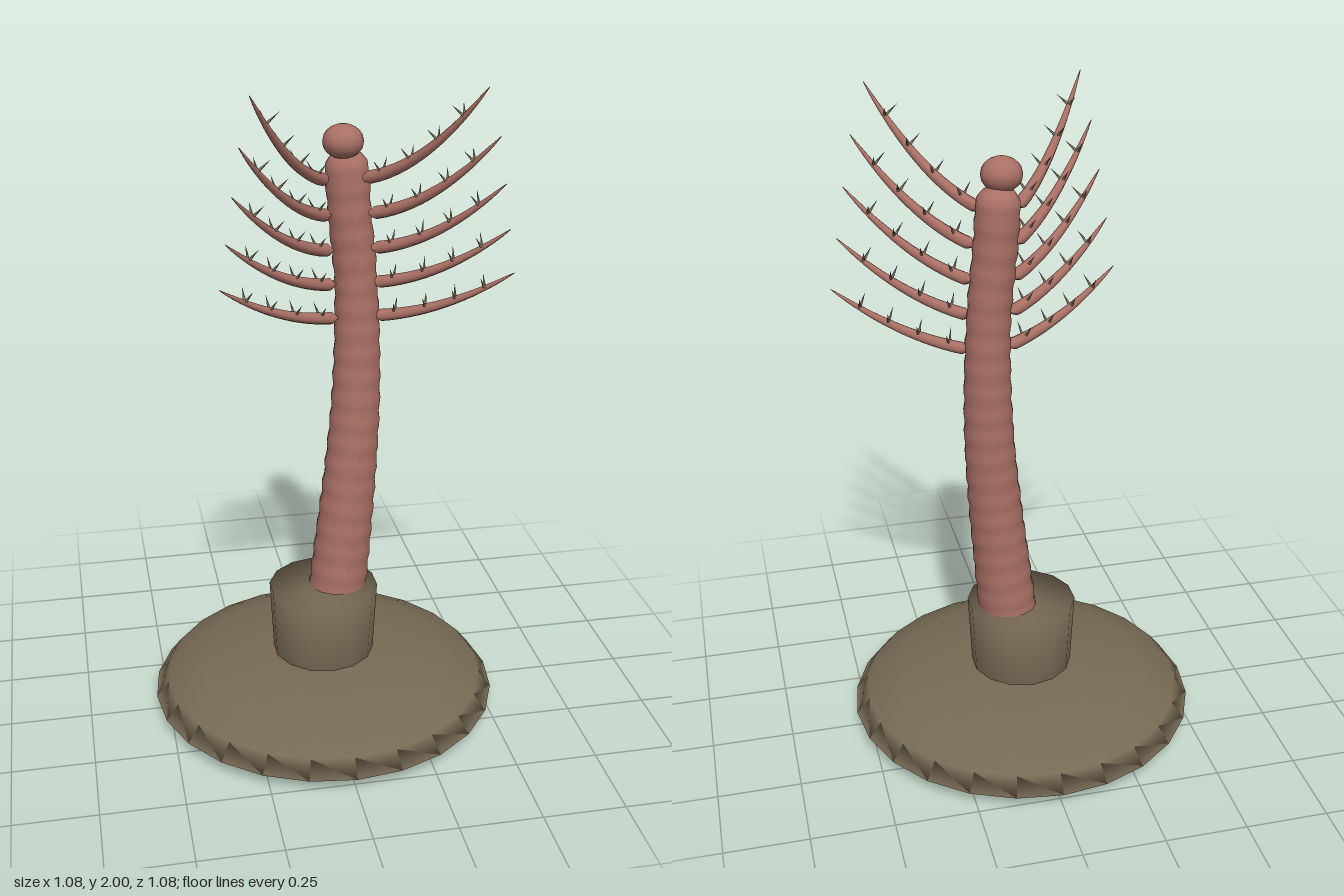
import * as THREE from 'three';

const flesh = new THREE.MeshStandardMaterial({ color: 0xaa7065 });
flesh.name = 'dusty rose';
const clay = new THREE.MeshStandardMaterial({ color: 0x776a54 });
clay.name = 'brown clay';
const bone = new THREE.MeshStandardMaterial({ color: 0x857f68 });
bone.name = 'pale thorn';

const V = (x, y, z) => new THREE.Vector3(x, y, z);
const { lerp, clamp } = THREE.MathUtils;

function add(parent, name, geometry, material) {
  const mesh = new THREE.Mesh(geometry, material);
  mesh.name = name;
  parent.add(mesh);
  return mesh;
}

// Tube along a curve whose radius follows radiusAt(t)
function taperedTube(curve, segments, sides, radiusAt) {
  const geo = new THREE.TubeGeometry(curve, segments, 1, sides);
  const pos = geo.attributes.position;
  const nor = geo.attributes.normal;
  const n = V(0, 0, 0);
  for (let i = 0; i <= segments; i++) {
    const t = i / segments;
    const p = curve.getPointAt(t);
    const r = radiusAt(t);
    for (let j = 0; j <= sides; j++) {
      const k = i * (sides + 1) + j;
      n.fromBufferAttribute(nor, k).multiplyScalar(r).add(p);
      pos.setXYZ(k, n.x, n.y, n.z);
    }
  }
  return geo;
}

function lathe(points, sides) {
  return new THREE.LatheGeometry(points.map(([r, y]) => new THREE.Vector2(r, y)), sides);
}

// One upswept branch with pairs of small thorns
function makeBranch(name, root, tip, sag) {
  const group = new THREE.Group();
  group.name = name;
  const mid = root.clone().lerp(tip, 0.5);
  mid.y -= sag * 2;
  const curve = new THREE.QuadraticBezierCurve3(root, mid, tip);
  const radius = (t) => {
    if (t === 0) return 0.001;
    return t < 0.08 ? 0.019 : Math.max(0.001, 0.02 * Math.pow(1 - t, 0.6));
  };
  add(group, 'branchStem', taperedTube(curve, 16, 8, radius), flesh);

  const thornGeo = new THREE.ConeGeometry(0.005, 0.045, 5);
  thornGeo.translate(0, 0.0225, 0);
  for (const t of [0.15, 0.36, 0.57, 0.78]) {
    const along = curve.getTangentAt(t);
    const side = V(0, 1, 0).cross(along).normalize();
    const up = along.clone().cross(side).normalize();
    for (const s of [-1, 1]) {
      const dir = up.clone().addScaledVector(side, s * 0.8).addScaledVector(along, 0.25).normalize();
      const thorn = add(group, 'thorn', thornGeo, bone);
      thorn.position.copy(curve.getPointAt(t)).addScaledVector(dir, radius(t) * 0.6);
      thorn.quaternion.setFromUnitVectors(V(0, 1, 0), dir);
    }
  }
  return group;
}

export function createModel() {
  const model = new THREE.Group();
  model.name = 'thornyStalk';

  // Domed foot and the flared socket through it
  add(model, 'foot', lathe([[0, 0.045], [0.54, 0.045], [0.5, 0.095], [0.385, 0.145], [0.2, 0.175], [0, 0.18]], 24), clay);
  add(model, 'socket', lathe([[0, 0], [0.15, 0], [0.17, 0.4], [0, 0.4]], 14), clay);

  // Leaning, gently ringed trunk with a rounded top
  const trunk = new THREE.CatmullRomCurve3([
    V(0.045, 0.36, -0.01), V(0.07, 0.6, -0.015), V(0.09, 0.8, -0.022), V(0.105, 1.0, -0.031),
    V(0.11, 1.2, -0.04), V(0.105, 1.4, -0.046), V(0.086, 1.6, -0.05), V(0.075, 1.78, -0.055),
  ]);
  const trunkGeo = taperedTube(trunk, 64, 16, (t) => {
    const body = lerp(0.092, 0.064, Math.min(1, t * 1.4)) + 0.0025 * Math.sin(t * 125);
    const cap = clamp((t - 0.95) / 0.05, 0, 0.999);
    return body * Math.sqrt(1 - cap * cap);
  });
  trunkGeo.computeVertexNormals();
  add(model, 'trunk', trunkGeo, flesh);

  // Knob at the top
  const knob = add(model, 'knob', new THREE.SphereGeometry(0.06, 14, 10), flesh);
  knob.scale.y = 0.83;
  knob.position.set(0.064, 1.8, -0.037);

  // Five pairs of branches, top to bottom, sweeping forward
  for (let i = 0; i < 5; i++) {
    const k = i / 4;
    const y = lerp(1.695, 1.28, k);
    const tipY = lerp(2.0, 1.44, k);
    const tipZ = lerp(0.28, 0.143, k);
    const sag = lerp(0.055, 0.03, k);
    const ease = Math.sqrt(k);
    model.add(makeBranch('leftBranch', V(lerp(0.11, 0.15, ease), y, -0.02),
      V(lerp(0.39, 0.53, lerp(k, ease, 0.4)), tipY, tipZ), sag));
    model.add(makeBranch('rightBranch', V(lerp(0.02, 0.05, k), y, -0.02),
      V(lerp(-0.245, -0.32, lerp(k, ease, 0.4)), tipY, tipZ), sag));
  }
  return model;
}
